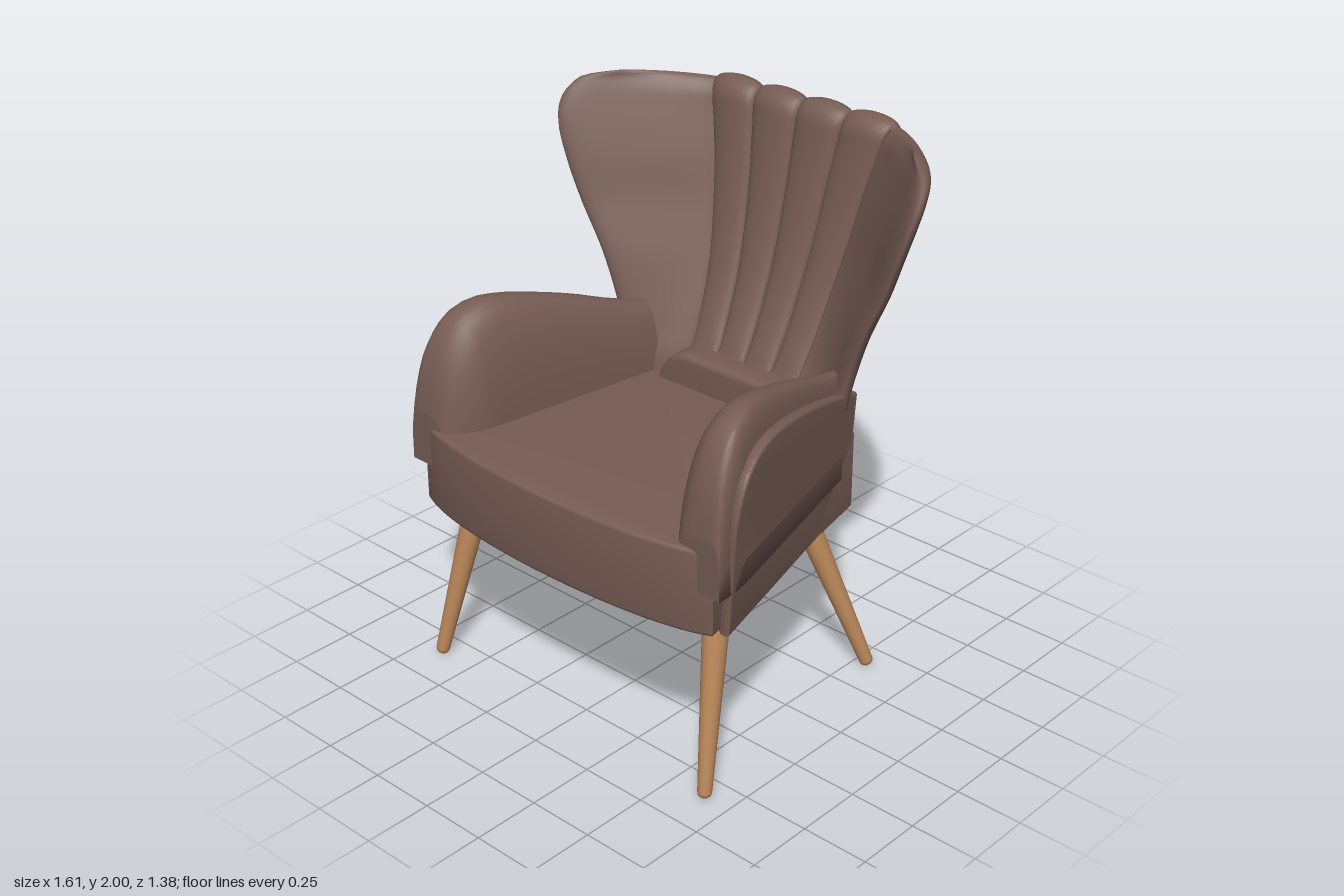
import * as THREE from 'three';
import { toCreasedNormals } from 'three/addons/utils/BufferGeometryUtils.js';

const V3 = (x, y, z) => new THREE.Vector3(x, y, z);
const smooth = THREE.MathUtils.smoothstep;

// Smooth lookup through rows of [key, value, value, ...]
function table(rows) {
  const width = rows[0].length - 1;
  const curve = new THREE.CubicInterpolant(rows.map(r => r[0]), rows.flatMap(r => r.slice(1)), width);
  return t => [...curve.evaluate(t)];
}

// Skin over closed rings (counterclockwise seen from the end they advance to)
function loft(rings, capped) {
  const n = rings[0].length, points = rings.flat(), index = [];
  for (let j = 0; j < rings.length - 1; j++) {
    for (let i = 0; i < n; i++) {
      const a = j * n + i, b = j * n + (i + 1) % n;
      index.push(a, b, b + n, a, b + n, a + n);
    }
  }
  if (capped) {
    for (const last of [false, true]) {
      const ring = last ? rings[rings.length - 1] : rings[0];
      const centre = ring.reduce((s, p) => s.add(p), V3(0, 0, 0)).divideScalar(n);
      const base = points.length;
      points.push(...ring, centre);
      for (let i = 0; i < n; i++) {
        const a = base + i, b = base + (i + 1) % n;
        index.push(base + n, last ? a : b, last ? b : a);
      }
    }
  }
  const g = new THREE.BufferGeometry().setFromPoints(points);
  g.setIndex(index);
  g.computeVertexNormals();
  return g;
}

// Winged back: four fluted channels in the middle, a forward-sweeping wing each side
function backrestGeometry() {
  // height -> channel half width, channel z, wing tip x, wing tip z
  const at = table([
    [0.92, 0.235, -0.29, 0.47, -0.25], [1.0, 0.24, -0.32, 0.49, -0.245], [1.08, 0.25, -0.375, 0.51, -0.24],
    [1.2, 0.265, -0.435, 0.54, -0.235], [1.37, 0.285, -0.5, 0.6, -0.225], [1.55, 0.315, -0.55, 0.69, -0.21],
    [1.7, 0.34, -0.582, 0.75, -0.2], [1.82, 0.365, -0.604, 0.79, -0.205], [1.9, 0.382, -0.617, 0.8, -0.23],
    [1.95, 0.392, -0.624, 0.782, -0.27], [1.98, 0.398, -0.628, 0.745, -0.31], [2.0, 0.4, -0.63, 0.65, -0.39],
  ]);
  // stations across: u is position (wings beyond 1), puff is channel fullness
  const stations = [];
  for (let i = 14; i > 0; i--) stations.push({ u: -1 - Math.sin(i / 14 * Math.PI / 2), puff: 0 });
  for (let ch = 0; ch < 4; ch++) {
    for (let i = 0; i < 12; i++) {
      const a = i / 12 * Math.PI;
      stations.push({ u: -1 + ch / 2 + (1 - Math.cos(a)) / 4, puff: Math.sin(a) });
    }
  }
  for (let i = 0; i <= 14; i++) stations.push({ u: 1 + Math.sin(i / 14 * Math.PI / 2), puff: 0 });

  const heights = [];
  for (let i = 0; i < 34; i++) heights.push(0.92 + i * 0.03);
  heights.push(1.93, 1.945, 1.96, 1.972, 1.982, 1.99, 1.996, 2.0);

  const rings = heights.map(y => {
    const [c, zc, w, zt] = at(y);
    const mid = u => {
      const s = Math.abs(u) - 1;
      if (s <= 0) return [u * c, zc];
      const q = 2 * s * (1 - s), p = (1 - s) ** 2;
      const x = p * c + q * ((c + w) / 2 + 0.03) + s * s * w;
      return [Math.sign(u) * x, p * zc + q * ((zc + zt) / 2 - 0.03) + s * s * zt];
    };
    const round = Math.sqrt(Math.max(0, 1 - Math.max(0, (y - 1.93) / 0.07) ** 2));
    const fluted = smooth(y, 1.04, 1.13);
    const front = [], back = [];
    for (const { u, puff } of stations) {
      const s = Math.max(0, Math.abs(u) - 1);
      const [x, z] = mid(u), [x0, z0] = mid(u - 0.01), [x1, z1] = mid(u + 0.01);
      const len = Math.hypot(x1 - x0, z1 - z0);
      const inner = s > 0 ? 0 : THREE.MathUtils.lerp(0.5 * Math.min(1, puff * 2), puff, fluted);
      const half = round * (s > 0 ? 0.036 * Math.sqrt(Math.max(0, 1 - s ** 8)) : 0.036 + 0.028 * inner);
      const dip = 0.027 * (s > 0 ? 1 - s : 1 - puff) * smooth(y, 1.7, 2);
      const nx = -(z1 - z0) / len * half, nz = (x1 - x0) / len * half;
      front.push(V3(x + nx, y - dip, z + nz));
      back.unshift(V3(x - nx, y - dip, z - nz));
    }
    return [...front, ...back];
  });
  return loft(rings, false);
}

// Outer face of the arm: flares towards the front and the top
const armOuter = (z, y) => 0.595 + 0.28 * z + 0.07 * (y - 1.2);

// Padded arm: arched sections from back to front
function armPadGeometry(side) {
  const crown = table([
    [-0.28, 1.2], [-0.15, 1.235], [0, 1.29], [0.15, 1.335], [0.3, 1.37], [0.4, 1.375],
    [0.48, 1.343], [0.54, 1.275], [0.58, 1.19], [0.605, 1.08], [0.615, 1.0],
  ]);
  const zs = [];
  for (let z = -0.28; z < 0.47; z += 0.05) zs.push(z);
  zs.push(0.49, 0.51, 0.53, 0.55, 0.57, 0.585, 0.597, 0.607, 0.615);
  const rings = zs.map(z => {
    const [h] = crown(z), floor = 0.8;
    const ease = Math.max(0, (z - 0.45) / 0.165) ** 2;
    const xi = 0.4 + 0.13 * z + 0.06 * ease;
    const xo = armOuter(z, 1.15) - 0.018 - 0.025 * ease;
    const xc = xi + 0.65 * (xo - xi);
    const ring = [];
    for (let i = 0; i <= 28; i++) {
      const a = i / 28 * Math.PI, co = Math.cos(a), power = co > 0 ? 0.55 : 0.8;
      const reach = Math.abs(co) ** power * (co > 0 ? xo - xc : xi - xc);
      ring.push(V3(side * (xc + reach), floor + (h - floor) * Math.max(0, Math.sin(a)) ** power, z));
    }
    return side > 0 ? ring : ring.reverse();
  });
  return loft(rings, true);
}

// Thin upholstered panel on the outside of each arm
function armPanelGeometry(side) {
  const shape = new THREE.Shape();
  shape.moveTo(-0.355, 0.65);
  shape.lineTo(0.545, 0.65);
  shape.lineTo(0.55, 0.95);
  shape.splineThru([[0.545, 1.06], [0.51, 1.16], [0.45, 1.225], [0.37, 1.255], [0.28, 1.258], [0.15, 1.24],
    [0, 1.205], [-0.2, 1.145], [-0.355, 1.09]].map(p => new THREE.Vector2(...p)));
  const bevel = 0.012, depth = 0.02, full = depth + 2 * bevel;
  const g = new THREE.ExtrudeGeometry(shape, {
    depth, bevelSize: bevel, bevelThickness: bevel, bevelSegments: 3, curveSegments: 32,
  });
  const p = g.attributes.position;
  for (let i = 0; i < p.count; i++) {
    const z = p.getX(i), y = p.getY(i), d = p.getZ(i) + bevel;
    p.setXYZ(i, side * (armOuter(z, y) - (side > 0 ? d : full - d)), y, z);
  }
  return toCreasedNormals(g, 0.7);
}

// Seat block with a bowed front edge
function seatGeometry() {
  const shape = new THREE.Shape();
  shape.moveTo(-0.46, 0.355);
  shape.lineTo(-0.66, -0.585);
  shape.bezierCurveTo(-0.42, -0.705, 0.42, -0.705, 0.66, -0.585);
  shape.lineTo(0.46, 0.355);
  const g = new THREE.ExtrudeGeometry(shape, {
    depth: 0.28, bevelSize: 0.015, bevelThickness: 0.015, bevelSegments: 4, curveSegments: 28,
  });
  g.rotateX(-Math.PI / 2);
  g.translate(0, 0.655, 0);
  return toCreasedNormals(g, 0.7);
}

// Low cushion roll between the seat and the channels
function lumbarGeometry() {
  const shape = new THREE.Shape();
  shape.moveTo(-0.32, 0.92);
  shape.lineTo(0.32, 0.92);
  shape.quadraticCurveTo(0.27, 1.05, 0.19, 1.05);
  shape.lineTo(-0.19, 1.05);
  shape.quadraticCurveTo(-0.27, 1.05, -0.32, 0.92);
  const g = new THREE.ExtrudeGeometry(shape, {
    depth: 0.07, bevelSize: 0.025, bevelThickness: 0.03, bevelSegments: 5, curveSegments: 10,
  });
  g.translate(0, 0, -0.325);
  return toCreasedNormals(g, 0.8);
}

// Tapered leg with a rounded foot, aimed from foot to top
function legGeometry(foot, top) {
  const length = foot.distanceTo(top);
  const profile = [[0, 0], [0.014, 0.002], [0.022, 0.009], [0.025, 0.02], [0.047, length - 0.06], [0.047, length]];
  const g = new THREE.LatheGeometry(profile.map(p => new THREE.Vector2(...p)), 24);
  g.applyQuaternion(new THREE.Quaternion().setFromUnitVectors(V3(0, 1, 0), top.clone().sub(foot).normalize()));
  return g.translate(foot.x, foot.y, foot.z);
}

export function createModel() {
  const chair = new THREE.Group();
  chair.name = 'armchair';
  const fabric = new THREE.MeshStandardMaterial({ color: 0x765c54 });
  fabric.name = 'brown upholstery';
  const wood = new THREE.MeshStandardMaterial({ color: 0xb88658 });
  wood.name = 'light wood';
  const add = (name, geometry, material) => {
    const mesh = new THREE.Mesh(geometry, material);
    mesh.name = name;
    chair.add(mesh);
  };

  add('seat', seatGeometry(), fabric);
  add('lumbarRoll', lumbarGeometry(), fabric);
  add('backrest', backrestGeometry(), fabric);
  for (const [side, label] of [[1, 'left'], [-1, 'right']]) {
    add(label + 'ArmPad', armPadGeometry(side), fabric);
    add(label + 'ArmPanel', armPanelGeometry(side), fabric);
    add(label + 'FrontLeg', legGeometry(V3(side * 0.65, 0.005, 0.6), V3(side * 0.565, 0.67, 0.445)), wood);
    add(label + 'BackLeg', legGeometry(V3(side * 0.555, 0.005, -0.4), V3(side * 0.325, 0.67, -0.245)), wood);
  }
  return chair;
}
